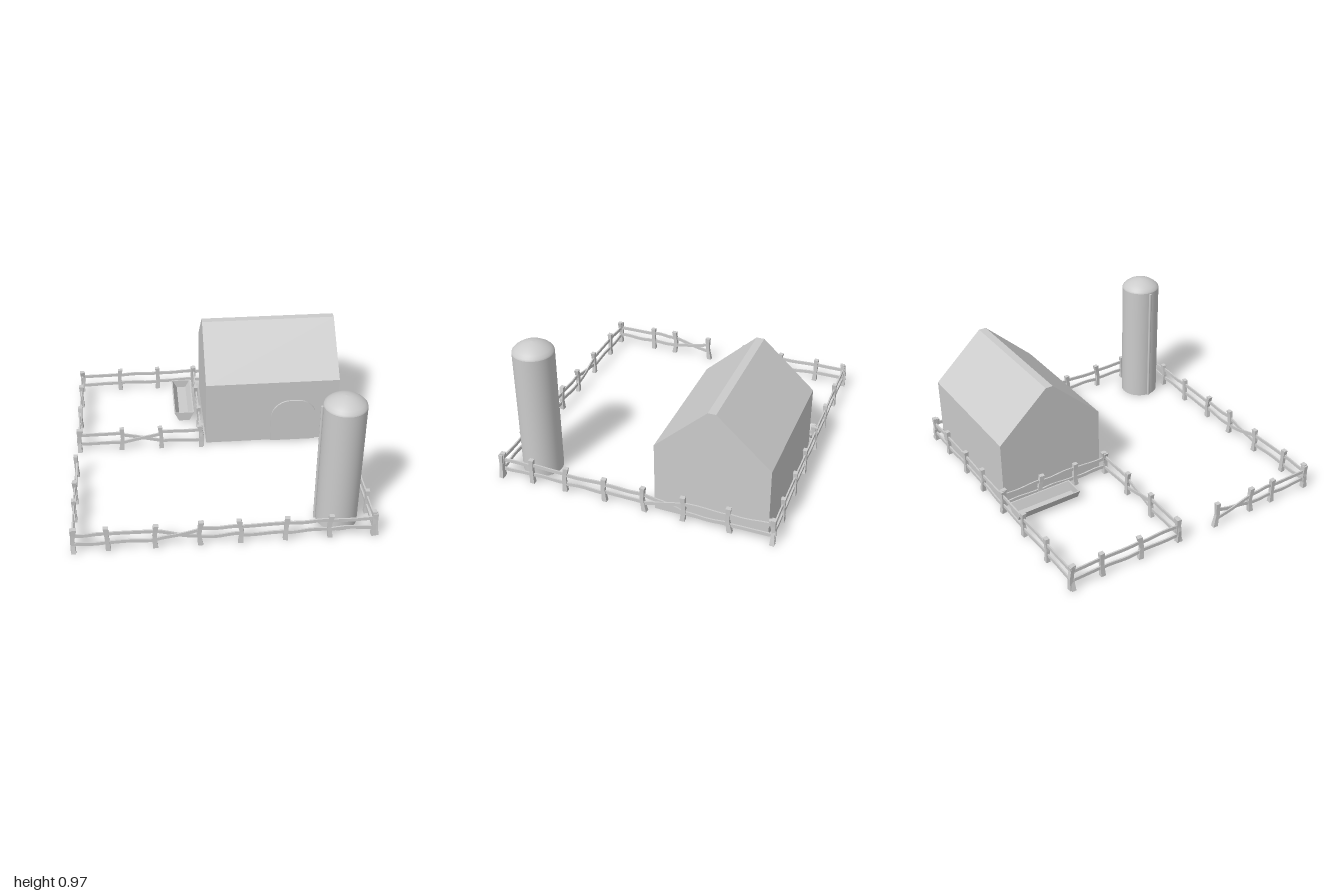
import * as THREE from 'three';

const grey = new THREE.MeshStandardMaterial({ color: 0xcccccc, flatShading: true });
const smooth = new THREE.MeshStandardMaterial({ color: 0xcccccc });

function add(parent, name, geometry, material = grey) {
  const mesh = new THREE.Mesh(geometry, material);
  mesh.name = name;
  parent.add(mesh);
  return mesh;
}

// Moves every vertex of a geometry by a rule
function warp(geometry, rule) {
  const p = geometry.attributes.position, v = new THREE.Vector3();
  for (let i = 0; i < p.count; i++) {
    rule(v.fromBufferAttribute(p, i));
    p.setXYZ(i, v.x, v.y, v.z);
  }
  geometry.computeVertexNormals();
  return geometry;
}

// Shape given as [x, y] corners, extruded along z
function prism(corners, depth) {
  const shape = new THREE.Shape(corners.map(([x, y]) => new THREE.Vector2(x, y)));
  return new THREE.ExtrudeGeometry(shape, { depth, bevelEnabled: false });
}

let seed = 7;
const jitter = (amount) => {
  seed = (seed * 16807) % 2147483647;
  return (seed / 2147483647 * 2 - 1) * amount;
};

// Crooked post: waisted in the middle, flared at the foot and slightly leaning
function post(parent, x, z, angle, lean) {
  const h = 0.18 + jitter(0.006), bend = jitter(0.007);
  const geo = warp(new THREE.BoxGeometry(0.034, h, 0.03, 1, 4, 1), (v) => {
    const t = v.y / h;
    const width = 0.8 + 0.8 * t * t;
    v.x = v.x * width + lean * t + bend * Math.cos(t * Math.PI * 2);
    v.z *= width;
  });
  const mesh = add(parent, 'fencePost', geo);
  mesh.position.set(x, 0.013 + h / 2, z);
  mesh.rotation.y = angle + jitter(0.12);
}

// Wavy rail running from height y0 to height y1
function rail(parent, a, b, y0, y1, offset) {
  const dx = b[0] - a[0], dz = b[1] - a[1], len = Math.hypot(dx, dz) + 0.02;
  const wave = jitter(0.007), phase = jitter(1);
  const geo = warp(new THREE.BoxGeometry(len, 0.024, 0.01, 6, 1, 1), (v) => {
    const t = v.x / len + 0.5;
    v.y += y0 + (y1 - y0) * t + wave * Math.sin(t * Math.PI * 2 + phase);
    v.z += offset;
  });
  const mesh = add(parent, 'fenceRail', geo);
  mesh.position.set((a[0] + b[0]) / 2, 0, (a[1] + b[1]) / 2);
  mesh.rotation.y = -Math.atan2(dz, dx);
}

// Run of posts with two rails per bay; the rails swap height in the crossed bay
function fenceRun(parent, name, points, crossed = -1) {
  const run = new THREE.Group();
  run.name = name;
  parent.add(run);
  const last = points.length - 1, [a, b] = [points[0], points[last]];
  const angle = -Math.atan2(b[1] - a[1], b[0] - a[0]);
  points.forEach(([x, z], i) => {
    const lean = i === 0 ? 0.014 : i === last ? -0.014 : jitter(0.014);
    post(run, x, z, angle, lean);
    if (i === last) return;
    const low = 0.075 + jitter(0.005), high = 0.145 + jitter(0.006);
    const swap = i === crossed;
    rail(run, points[i], points[i + 1], low, swap ? high : low + jitter(0.007), swap ? 0.004 : 0);
    rail(run, points[i], points[i + 1], high, swap ? low : high + jitter(0.007), swap ? -0.004 : 0);
  });
}

const alongX = (xs, z0, z1 = z0) => xs.map((x, i) => [x, z0 + (z1 - z0) * i / (xs.length - 1)]);
const alongZ = (zs, x) => zs.map((z) => [x, z]);

function barn() {
  const group = new THREE.Group();
  group.name = 'barn';
  // Gabled body: profile drawn in z/y, extruded along x
  const body = add(group, 'barnBody', prism([
    [0.15, 0.018], [0.91, 0.018], [0.91, 0.515], [0.553, 0.84], [0.5, 0.84], [0.15, 0.515],
  ], 0.965));
  body.rotation.y = Math.PI / 2;
  body.position.x = -0.042;
  // Arched door
  const l = 0.433, r = 0.763, base = 0.018, top = 0.36, c = 0.14;
  const arch = new THREE.Shape();
  arch.moveTo(l, base);
  arch.lineTo(r, base);
  arch.lineTo(r, top - c);
  arch.absarc(r - c, top - c, c, 0, Math.PI / 2);
  arch.absarc(l + c, top - c, c, Math.PI / 2, Math.PI);
  arch.closePath();
  add(group, 'barnDoor', new THREE.ExtrudeGeometry(arch, { depth: 0.02, bevelEnabled: false, curveSegments: 8 }))
    .position.z = -0.158;
  return group;
}

function silo() {
  const group = new THREE.Group();
  group.name = 'silo';
  group.position.set(0.755, 0, 0.745);
  const wall = add(group, 'siloWall', new THREE.CylinderGeometry(0.138, 0.138, 0.9, 40), smooth);
  wall.position.y = 0.46;
  // Shallow dome
  const dome = [[0.138, 0.91], [0.134, 0.922], [0.118, 0.938], [0.092, 0.956], [0.06, 0.971], [0.03, 0.979], [0, 0.982]];
  add(group, 'siloDome', new THREE.LatheGeometry(dome.map(([x, y]) => new THREE.Vector2(x, y)), 40), smooth);
  // Filling pipe up the side
  const pipe = add(group, 'siloPipe', new THREE.CylinderGeometry(0.01, 0.01, 0.89, 10), smooth);
  pipe.position.set(-0.143, 0.457, -0.008);
  return group;
}

// Open trough: sloped walls with thin ends
function trough() {
  const group = new THREE.Group();
  group.name = 'trough';
  group.position.set(-0.187, 0, -0.907);
  const length = 0.465, end = 0.01;
  add(group, 'troughShell', prism([
    [-0.04, 0.025], [0.04, 0.025], [0.075, 0.095], [0.066, 0.095],
    [0.034, 0.034], [-0.034, 0.034], [-0.066, 0.095], [-0.075, 0.095],
  ], length));
  for (const z of [0, length - end]) {
    add(group, 'troughEnd', prism([[-0.036, 0.03], [0.036, 0.03], [0.068, 0.094], [-0.068, 0.094]], end))
      .position.z = z;
  }
  return group;
}

export function createModel() {
  const model = new THREE.Group();
  model.name = 'farmyard';
  model.add(barn(), silo(), trough());
  // Outer fence
  fenceRun(model, 'backFence', alongX([-0.965, -0.67, -0.37, -0.087, 0.2, 0.46, 0.745, 0.965], -0.935, -0.952));
  fenceRun(model, 'leftFence', alongZ([-0.95, -0.66, -0.36, -0.085, 0.19, 0.47, 0.715, 0.935], 0.962), 2);
  fenceRun(model, 'frontFence', alongX([-0.975, -0.76, -0.455, -0.168, 0.095, 0.39, 0.675, 0.975], 0.942, 0.935), 2);
  fenceRun(model, 'rightFence', alongZ([0.94, 0.645, 0.455, 0.17], -0.977), 2);
  // Small pen beside the barn
  fenceRun(model, 'penOuterFence', alongZ([-0.94, -0.72, -0.43, -0.135], -0.967));
  fenceRun(model, 'penFrontFence', alongX([-0.965, -0.657, -0.375, -0.08], -0.135, -0.128), 1);
  fenceRun(model, 'penInnerFence', alongZ([-0.935, -0.65, -0.375, -0.128], -0.083));
  return model;
}
